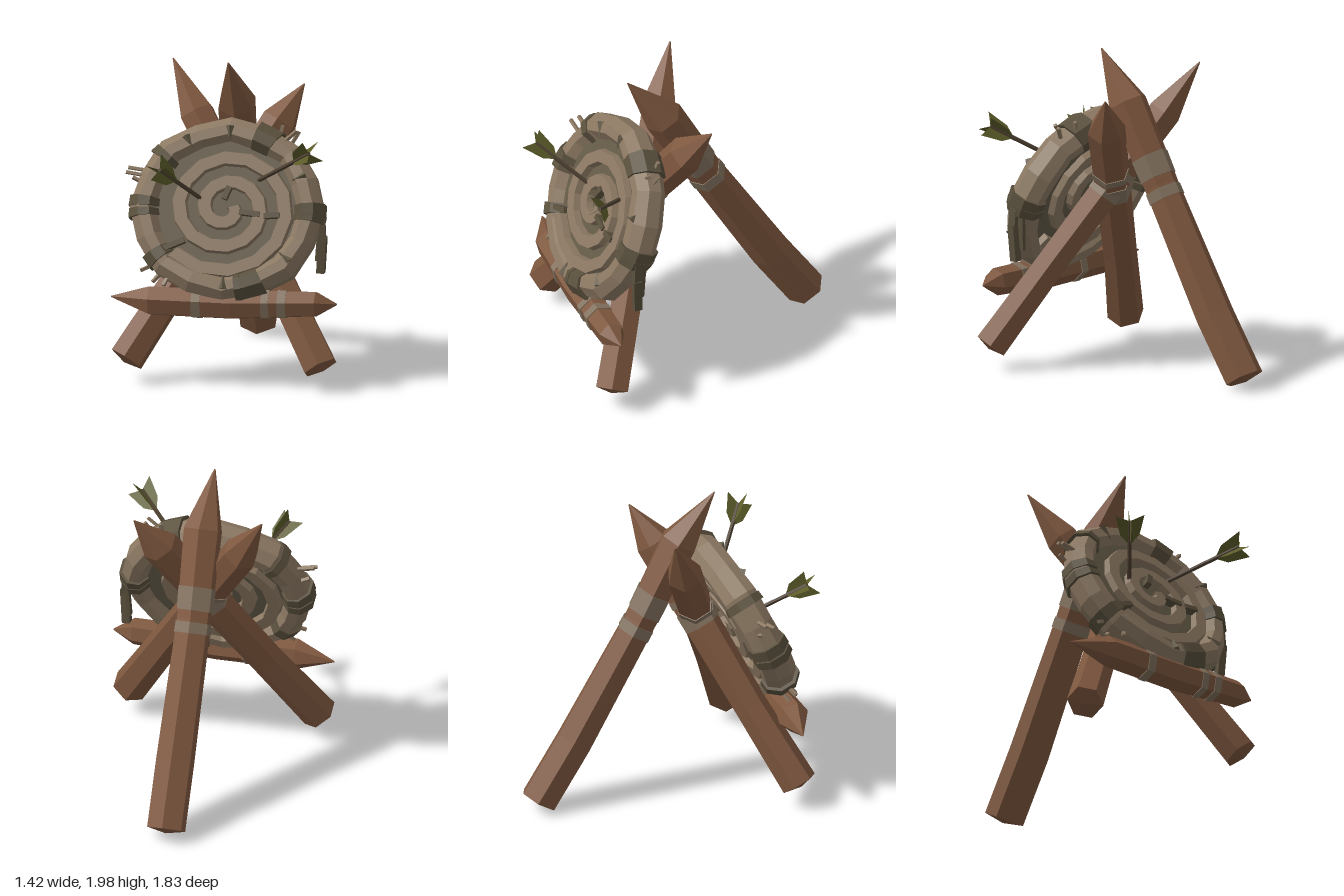
import * as THREE from 'three';

const mat = (name, color, side = THREE.FrontSide) => {
  const m = new THREE.MeshStandardMaterial({ color, flatShading: true, side });
  m.name = name;
  return m;
};
const V = (x, y, z) => new THREE.Vector3(x, y, z);

// Skin a series of equal-sided cross-sections and cap both ends
function loft(sections, bulge = 0) {
  const n = sections[0].length, pos = [];
  const tri = (...p) => p.forEach(q => pos.push(q.x, q.y, q.z));
  const centre = s => s.reduce((c, p) => c.add(p), V(0, 0, 0)).divideScalar(n);
  for (let i = 0; i < sections.length - 1; i++) {
    for (let j = 0; j < n; j++) {
      const k = (j + 1) % n, A = sections[i], B = sections[i + 1];
      tri(A[j], A[k], B[k]);
      tri(A[j], B[k], B[j]);
    }
  }
  const first = sections[0], last = sections[sections.length - 1];
  const c0 = centre(first), c1 = centre(last);
  c0.addScaledVector(c0.clone().sub(centre(sections[1])).normalize(), bulge);
  for (let j = 0; j < n; j++) {
    const k = (j + 1) % n;
    tri(c0, first[k], first[j]);
    tri(c1, last[j], last[k]);
  }
  const g = new THREE.BufferGeometry();
  g.setAttribute('position', new THREE.Float32BufferAttribute(pos, 3));
  g.computeVertexNormals();
  return g;
}

// Hexagonal log along [x, y, z, radius] points
function logGeometry(path, axis, ref, bulge) {
  const u = ref.clone().addScaledVector(axis, -ref.dot(axis)).normalize();
  const v = axis.clone().cross(u);
  return loft(path.map(([x, y, z, r]) => Array.from({ length: 6 }, (_, j) => {
    const a = j * Math.PI / 3;
    return V(x, y, z).addScaledVector(u, r * Math.cos(a)).addScaledVector(v, r * Math.sin(a));
  })), bulge);
}

export function createModel() {
  const wood = mat('wood', 0x7f583f);
  const straw = mat('straw', 0x8c7963);
  const darkStraw = mat('dark straw', 0x645b48);
  const rope = mat('rope', 0x5a503d);
  const cloth = mat('cloth band', 0x83725f);
  const shaftWood = mat('arrow shaft', 0x4f4132);
  const feather = mat('feather', 0x5c5c2a, THREE.DoubleSide);

  const model = new THREE.Group();
  const add = (parent, name, geo, material) => {
    const m = new THREE.Mesh(geo, material);
    m.name = name;
    parent.add(m);
    return m;
  };
  // Thin stick between two points
  const stick = (parent, name, a, b, w, d, material) => {
    const m = add(parent, name, new THREE.BoxGeometry(w, d, a.distanceTo(b)), material);
    m.position.copy(a).lerp(b, 0.5);
    m.quaternion.setFromUnitVectors(V(0, 0, 1), b.clone().sub(a).normalize());
    return m;
  };

  // Logs with wrapped bands given as [segment, from, to]
  function log(name, path, ref, bands, bulge = 0.025) {
    const g = new THREE.Group();
    g.name = name;
    const axis = V(...path[path.length - 1]).sub(V(...path[0])).normalize();
    add(g, name + 'Wood', logGeometry(path, axis, ref, bulge), wood);
    for (const [s, a, b] of bands) {
      const at = t => path[s].map((c, i) => c + (path[s + 1][i] - c) * t + (i === 3 ? 0.006 : 0));
      add(g, name + 'Band', logGeometry([at(a), at(b)], axis, ref, 0), cloth);
    }
    model.add(g);
  }
  log('rearLeg', [[0, 0.085, -0.8, 0.125], [0, 0.45, -0.56, 0.125], [-0.01, 1.2, -0.12, 0.112],
    [0, 1.69, 0.15, 0.125], [-0.02, 2, 0.38, 0.004]], V(0, 0.5, -0.8), [[2, 0.1, 0.36], [1, 0.9, 0.98]]);
  log('leftLeg', [[0.61, 0.17, 0.74, 0.115], [0.3, 0.69, 0.5, 0.105], [-0.26, 1.6, 0.07, 0.115],
    [-0.43, 1.91, -0.07, 0.004]], V(0, 0.4, 1), [[1, 0.44, 0.54], [1, 0.58, 0.62]]);
  log('rightLeg', [[-0.61, 0.17, 0.69, 0.115], [-0.33, 0.62, 0.49, 0.105], [0.26, 1.57, 0.1, 0.12],
    [0.4, 1.79, -0.01, 0.004]], V(0, 0.4, 1), [[1, 0.5, 0.6], [1, 0.64, 0.68]]);
  log('crossBar', [[-0.71, 0.56, 0.67, 0.004], [-0.46, 0.555, 0.72, 0.098], [0.05, 0.55, 0.73, 0.1],
    [0.58, 0.57, 0.73, 0.085], [0.71, 0.57, 0.72, 0.004]], V(0, 1, 0.25),
  [[1, 0.53, 0.64], [2, 0.37, 0.46], [2, 0.56, 0.66]], 0);

  // Straw target, tilted back
  const target = new THREE.Group();
  target.name = 'target';
  target.position.set(0, 1.1, 0.535);
  target.rotation.x = -0.405;
  target.scale.y = 0.95;
  model.add(target);

  const polar = (r, a, z) => V(r * Math.cos(a), r * Math.sin(a), z);
  const rimProfile = [[0.6, 0.045], [0.6, -0.045], [0.545, -0.105], [0.48, -0.105],
    [0.43, -0.04], [0.43, 0.04], [0.48, 0.105], [0.545, 0.105]];
  const rimSection = (a, grow, wobble = 0) =>
    rimProfile.map(([r, z]) => polar(0.515 + (r - 0.515) * grow + wobble, a, z * grow));

  // Outer coil
  const N = 16, rim = [];
  for (let i = 0; i <= N; i++) {
    rim.push(rimSection(i / N * Math.PI * 2, 1 + 0.04 * Math.sin(i % N * 2.4), 0.008 * Math.cos(i % N * 3.1)));
  }
  add(target, 'outerCoil', loft(rim), straw);
  const core = add(target, 'core', new THREE.CylinderGeometry(0.46, 0.46, 0.1, 16), darkStraw);
  core.rotation.x = Math.PI / 2;

  // Spiral coil on both faces
  const spiral = [];
  for (let i = 0; i <= 34; i++) {
    const t = i / 14, r = 0.435 - 0.16 * t, a = 3.9 + t * Math.PI * 2;
    const w = Math.min(0.052, r * 0.95);
    spiral.push([[w, 0.035], [-w, 0.035], [-w * 0.75, 0.092], [w * 0.75, 0.092]]
      .map(([o, z]) => polar(r + o, a, z)));
  }
  for (const turn of [0, Math.PI]) {
    add(target, turn ? 'backSpiral' : 'frontSpiral', loft(spiral), straw).rotation.y = turn;
  }

  // Rope wraps around the rim: [angle, angular width]
  for (const [a, w] of [[0.03, 0.06], [-0.08, 0.05], [1.13, 0.13], [2.45, 0.05], [3.08, 0.06],
    [3.22, 0.05], [3.8, 0.07], [5.06, 0.13], [4.9, 0.04]]) {
    add(target, 'ropeWrap', loft([rimSection(a - w, 1.12), rimSection(a + w, 1.16)]), rope);
  }
  // Short ties across the inner coils: [x, y, angle, length]
  for (const [x, y, a, l] of [[0.15, -0.03, -0.1, 0.13], [0, 0.1, 1.2, 0.09], [-0.31, -0.25, 0.45, 0.14],
    [0.29, -0.04, 0.1, 0.1]]) {
    const tie = add(target, 'coilTie', new THREE.BoxGeometry(l, 0.035, 0.05), rope);
    tie.position.set(x, y, 0.08);
    tie.rotation.z = a;
  }
  // Frayed tufts on the rim
  for (const a of [1.57, 2.1, 4.73, 5.6, 0.45]) {
    const tuft = add(target, 'tuft', new THREE.ConeGeometry(0.03, 0.1, 4), darkStraw);
    tuft.position.copy(polar(0.49, a, 0.1));
    tuft.rotation.z = a + Math.PI / 2;
  }
  // Loose straws: [angle, tilt, length, z]
  for (const [a, tilt, l, z] of [[2.68, 0.35, 0.15, 0], [2.76, 0.25, 0.14, 0.04], [2.84, -0.1, 0.1, -0.04],
    [3.86, -0.2, 0.13, 0], [3.95, 0.1, 0.12, -0.04], [4.05, 0.3, 0.1, 0.03],
    [0.86, 0.2, 0.14, 0], [0.95, -0.2, 0.13, 0.04], [1.02, 0.3, 0.12, -0.03]]) {
    const p = polar(0.54, a, z);
    stick(target, 'looseStraw', p, p.clone().add(polar(l, a + tilt, 0.02)), 0.02, 0.02, straw);
  }

  // Hanging rope ends
  stick(model, 'ropeTail', V(0.59, 1.1, 0.56), V(0.6, 0.93, 0.57), 0.04, 0.05, rope);
  stick(model, 'ropeTail', V(0.6, 0.96, 0.57), V(0.585, 0.73, 0.56), 0.05, 0.05, rope);
  stick(model, 'ropeTail', V(0.58, 1.08, 0.52), V(0.56, 0.8, 0.53), 0.025, 0.04, rope);

  // Arrows with crossed, notched feathers
  const vane = new THREE.Shape([[0, 0], [0.07, 0.06], [0.21, 0.09], [0.17, 0],
    [0.21, -0.09], [0.07, -0.06]].map(([x, y]) => new THREE.Vector2(x, y)));
  const arrow = (name, a, b) => {
    const g = new THREE.Group();
    g.name = name;
    const len = a.distanceTo(b);
    g.position.copy(a);
    g.quaternion.setFromUnitVectors(V(1, 0, 0), b.clone().sub(a).normalize());
    const shaft = add(g, 'arrowShaft', new THREE.CylinderGeometry(0.014, 0.014, len, 5), shaftWood);
    shaft.rotation.z = Math.PI / 2;
    shaft.position.x = len / 2 - 0.02;
    for (const r of [0.5, 0.5 + Math.PI / 2]) {
      const f = add(g, 'feather', new THREE.ShapeGeometry(vane), feather);
      f.position.x = len - 0.19;
      f.rotation.x = r;
    }
    model.add(g);
  };
  arrow('leftArrow', V(0.19, 1.29, 0.5), V(0.56, 1.55, 0.81));
  arrow('rightArrow', V(-0.14, 1.16, 0.56), V(-0.39, 1.43, 0.86));

  return model;
}
